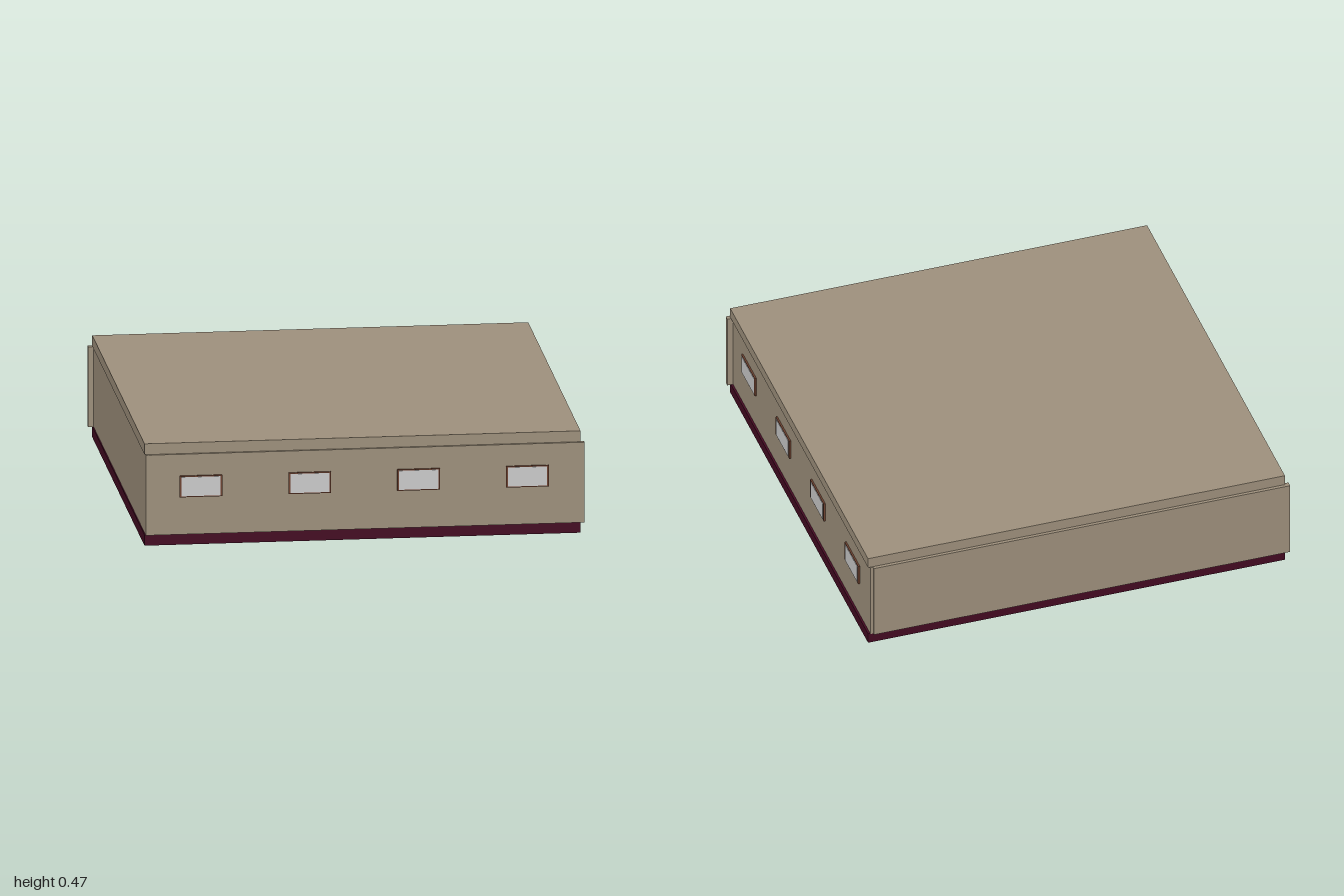
import * as THREE from 'three';

const material = (name, color) => {
  const m = new THREE.MeshStandardMaterial({ color });
  m.name = name;
  return m;
};

// Box given by its minimum and maximum corners
function box(name, mat, [x0, y0, z0], [x1, y1, z1]) {
  const mesh = new THREE.Mesh(new THREE.BoxGeometry(x1 - x0, y1 - y0, z1 - z0), mat);
  mesh.position.set((x0 + x1) / 2, (y0 + y1) / 2, (z0 + z1) / 2);
  mesh.name = name;
  return mesh;
}

export function createModel() {
  const tan = material('tan wall', 0x9f917d);
  const maroon = material('maroon base', 0x440a22);
  const brown = material('brown frame', 0x6e4230);
  const pane = material('pale pane', 0xcccccc);
  const model = new THREE.Group();
  model.name = 'building';

  // Floor and roof slabs
  model.add(box('floor', maroon, [-0.98, 0, -0.985], [0.983, 0.05, 0.975]));
  model.add(box('roof', tan, [-0.98, 0.42, -0.985], [0.983, 0.47, 0.975]));

  // Four walls, each overlapping the next at a corner
  const low = 0.05, high = 0.42;
  model.add(box('frontWall', tan, [-0.96, low, 0.965], [1, high, 0.987]));
  model.add(box('backWall', tan, [-1, low, -1], [0.96, high, -0.975]));
  model.add(box('rightWall', tan, [0.95, low, -0.99], [0.973, high, 0.965]));
  model.add(box('leftWall', tan, [-0.975, low, -0.975], [-0.95, high, 0.985]));

  // Framed window, built facing +z
  function makeWindow() {
    const group = new THREE.Group();
    group.name = 'window';
    group.add(box('windowFrame', brown, [-0.096, -0.049, -0.008], [0.096, 0.049, 0.008]));
    group.add(box('windowPane', pane, [-0.088, -0.044, 0.006], [0.088, 0.044, 0.01]));
    return group;
  }

  // Window rows on the front and the +x side
  for (let i = 0; i < 4; i++) {
    const along = -0.73 + i * 0.49;
    const front = makeWindow();
    front.position.set(along + 0.002, 0.272, 0.987);
    const side = makeWindow();
    side.rotation.y = Math.PI / 2;
    side.position.set(0.973, 0.272, along - 0.012);
    model.add(front, side);
  }
  return model;
}
